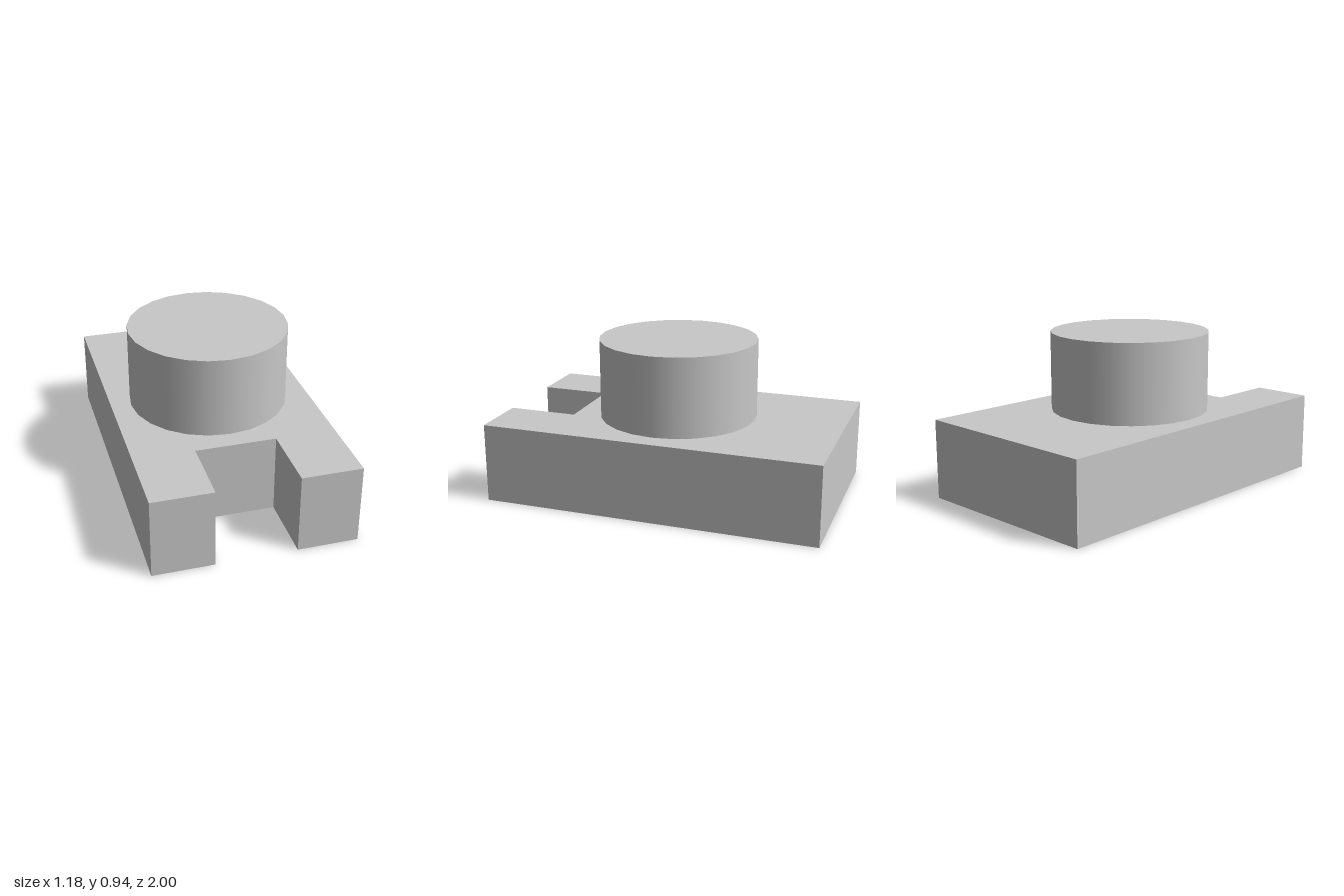
import * as THREE from 'three';

export function createModel() {
  const group = new THREE.Group();
  group.name = 'slottedBlockWithBoss';
  const grey = new THREE.MeshStandardMaterial({ color: 0xc8c8c8 });
  grey.name = 'light grey';

  const unit = 2 / 17;
  const halfWidth = 5 * unit, halfLength = 8.5 * unit, height = 4 * unit;
  const slotHalf = 2 * unit, slotDepth = 3.5 * unit;

  // Base block with an open slot in the front end (shape y becomes -z)
  const outline = new THREE.Shape([
    [-halfWidth, -halfLength],
    [-slotHalf, -halfLength],
    [-slotHalf, -halfLength + slotDepth],
    [slotHalf, -halfLength + slotDepth],
    [slotHalf, -halfLength],
    [halfWidth, -halfLength],
    [halfWidth, halfLength],
    [-halfWidth, halfLength],
  ].map(([x, y]) => new THREE.Vector2(x, y)));
  const baseGeometry = new THREE.ExtrudeGeometry(outline, { depth: height, bevelEnabled: false });
  baseGeometry.rotateX(-Math.PI / 2);
  const base = new THREE.Mesh(baseGeometry, grey);
  base.name = 'slottedBase';
  group.add(base);

  // Round boss standing on the middle of the base
  const boss = new THREE.Mesh(new THREE.CylinderGeometry(4 * unit, 4 * unit, height, 24), grey);
  boss.name = 'roundBoss';
  boss.position.y = height * 1.5;
  group.add(boss);

  return group;
}
